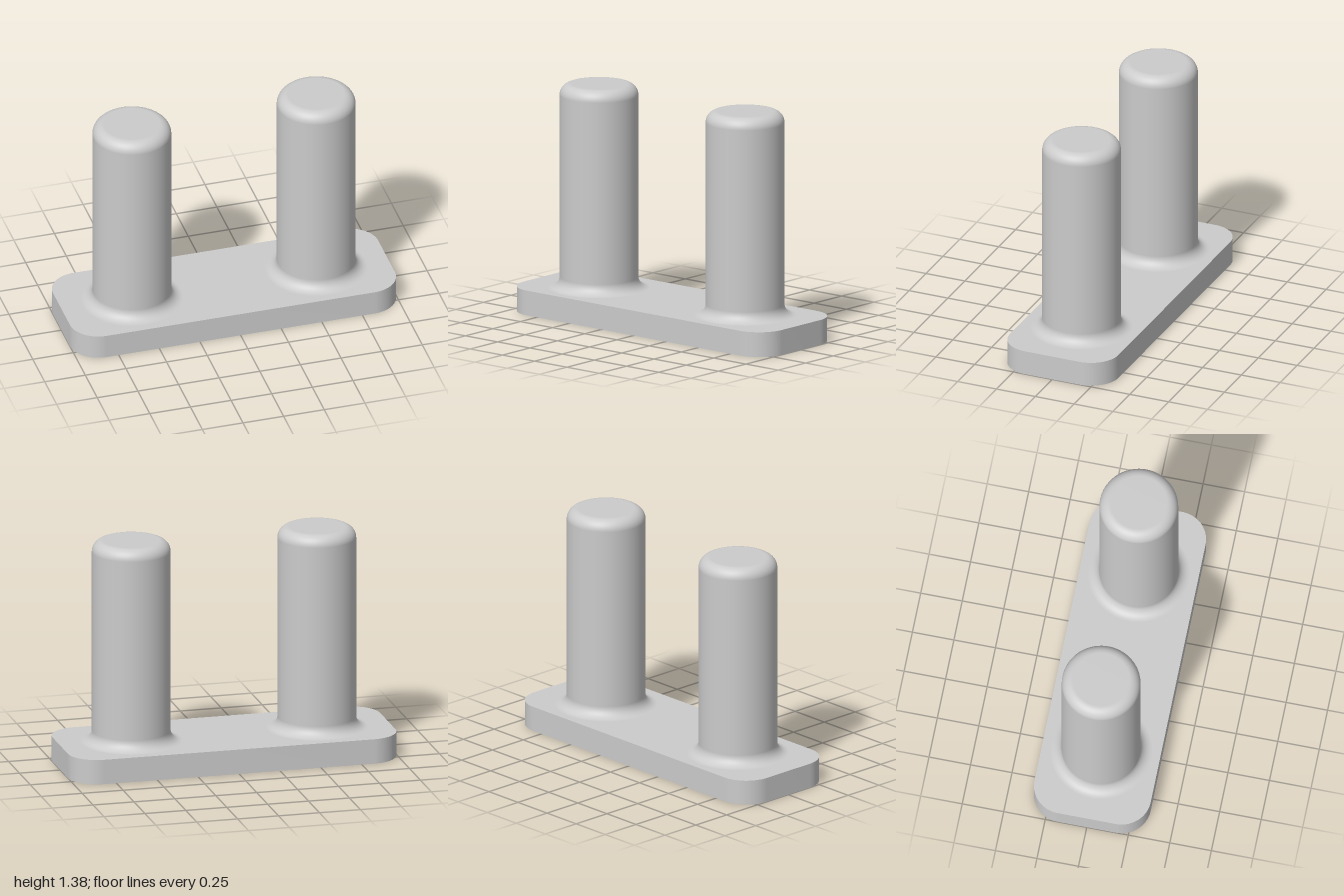
import * as THREE from 'three';
import { toCreasedNormals } from 'three/addons/utils/BufferGeometryUtils.js';

const W = 1, D = 0.35, CORNER = 0.175, PLATE = 0.15;          // plate half sizes, corner, thickness
const PEG_X = 0.567, PEG_R = 0.233, TOP = 1.383, FILLET = 0.067;
const HOLE_R = 0.1, HOLE_DEPTH = 0.1;

const material = new THREE.MeshStandardMaterial({ color: 0xcccccc });

function makeMesh(name, geometry, x = 0, y = 0) {
  const mesh = new THREE.Mesh(geometry, material);
  mesh.name = name;
  mesh.position.set(x, y, 0);
  return mesh;
}

// Rounded rectangle with two round holes, extruded upward
function plateGeometry() {
  const shape = new THREE.Shape();
  const a = W - CORNER, b = D - CORNER;
  shape.absarc(a, b, CORNER, 0, Math.PI / 2);
  shape.absarc(-a, b, CORNER, Math.PI / 2, Math.PI);
  shape.absarc(-a, -b, CORNER, Math.PI, Math.PI * 1.5);
  shape.absarc(a, -b, CORNER, Math.PI * 1.5, Math.PI * 2);
  shape.closePath();
  for (const x of [-PEG_X, PEG_X]) {
    shape.holes.push(new THREE.Path().absarc(x, 0, HOLE_R, 0, Math.PI * 2, true));
  }
  const geometry = new THREE.ExtrudeGeometry(shape, { depth: PLATE, bevelEnabled: false, curveSegments: 24 });
  geometry.rotateX(-Math.PI / 2);
  return toCreasedNormals(geometry, Math.PI / 5);
}

// Peg profile: concave fillet at the foot, straight shaft, rounded top edge
function pegGeometry() {
  const points = [];
  const steps = 10;
  for (let i = 0; i <= steps; i++) {
    const t = (i / steps) * Math.PI / 2;
    points.push(new THREE.Vector2(PEG_R + FILLET * (1 - Math.sin(t)), PLATE + FILLET * (1 - Math.cos(t))));
  }
  for (let i = 0; i <= steps; i++) {
    const t = (i / steps) * Math.PI / 2;
    points.push(new THREE.Vector2(PEG_R - FILLET * (1 - Math.cos(t)), TOP - FILLET * (1 - Math.sin(t))));
  }
  points.push(new THREE.Vector2(0, TOP));
  return new THREE.LatheGeometry(points, 72);
}

export function createModel() {
  const group = new THREE.Group();
  group.name = 'twoPegPlate';
  group.add(makeMesh('basePlate', plateGeometry()));

  const peg = pegGeometry();
  // Downward-facing end of each blind hole
  const holeEnd = new THREE.CircleGeometry(HOLE_R, 48).rotateX(Math.PI / 2);
  for (const [side, x] of [['left', PEG_X], ['right', -PEG_X]]) {
    group.add(makeMesh(side + 'Peg', peg, x));
    group.add(makeMesh(side + 'HoleEnd', holeEnd, x, HOLE_DEPTH));
  }
  return group;
}
